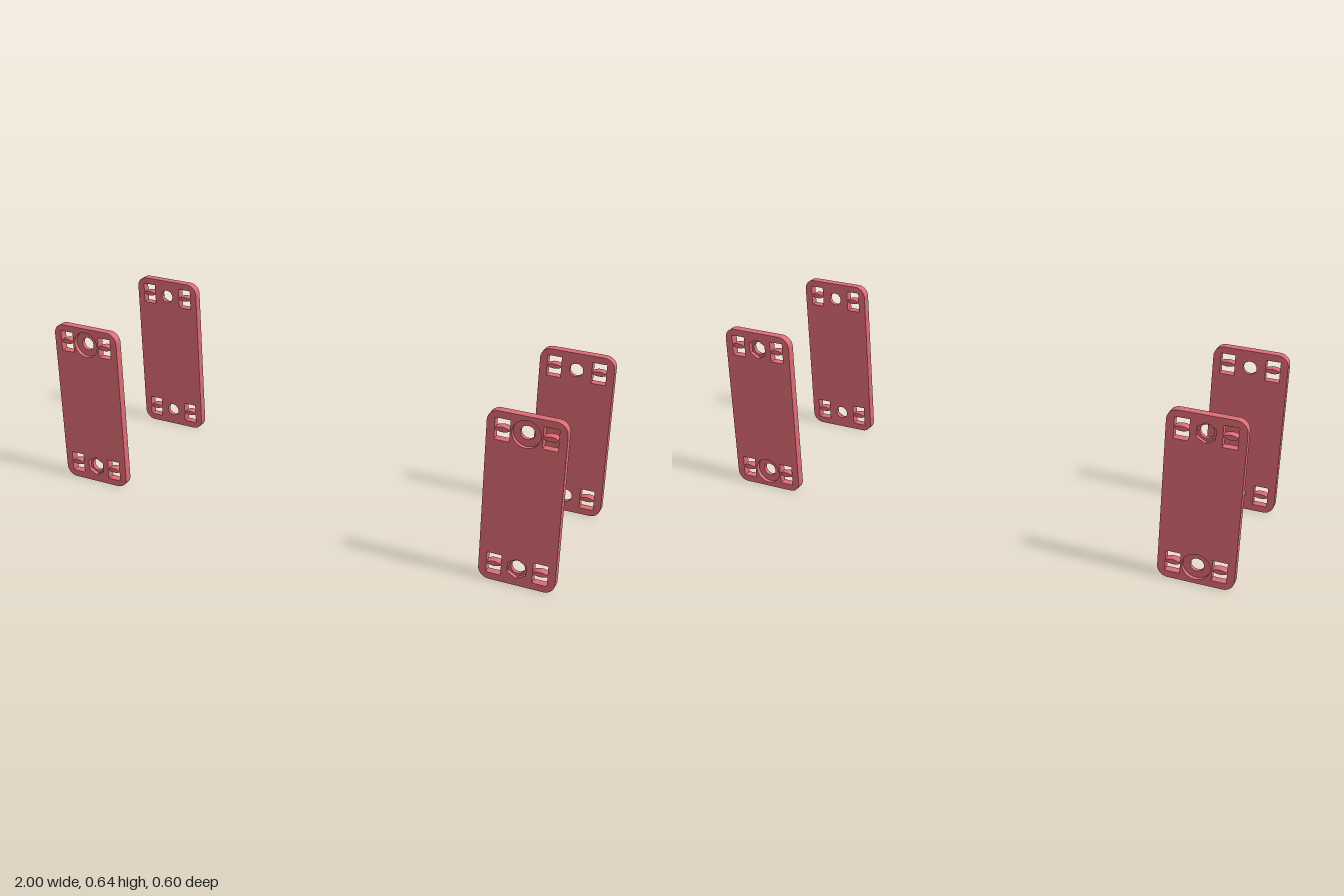
import * as THREE from 'three';

const W = 0.275, H = 0.645, T = 0.03, R = 0.04;   // plate size and corner radius
const HOLE_Y = 0.257, SLOT_X = 0.083;              // fixing positions from the plate centre
const SLOT_W = 0.053, SLOT_H = 0.08;

const moved = (pts, x, y) => pts.map(p => new THREE.Vector2(p.x + x, p.y + y));

// Regular polygon, clockwise so that it works as a hole
function ring(radius, sides, y) {
  const pts = [];
  for (let i = 0; i < sides; i++) {
    const a = Math.PI / 2 - (i / sides) * Math.PI * 2;
    pts.push(new THREE.Vector2(Math.cos(a) * radius, y + Math.sin(a) * radius));
  }
  return pts;
}

// Rounded rectangle, counter-clockwise
function roundedRect(w, h, r, steps = 10) {
  const pts = [];
  [[1, 1], [-1, 1], [-1, -1], [1, -1]].forEach(([sx, sy], corner) => {
    for (let i = 0; i <= steps; i++) {
      const a = (corner + i / steps) * Math.PI / 2;
      pts.push(new THREE.Vector2(
        sx * (w / 2 - r) + Math.cos(a) * r, sy * (h / 2 - r) + Math.sin(a) * r));
    }
  });
  return pts;
}

// Half of a tie slot: a window whose inner edge bulges with the bar between the halves
function slotHalf(sign) {
  const pts = [];
  for (let i = 0; i <= 8; i++) {
    const u = i / 8 * 2 - 1;
    pts.push(new THREE.Vector2(u * SLOT_W / 2, sign * (0.002 + 0.007 * (1 - u * u))));
  }
  pts.push(new THREE.Vector2(SLOT_W / 2, sign * SLOT_H / 2));
  pts.push(new THREE.Vector2(-SLOT_W / 2, sign * SLOT_H / 2));
  return sign > 0 ? pts.reverse() : pts;
}

function plateGeometry() {
  const pos = [];

  // Flat face with holes, facing +z (dir 1) or -z (dir -1)
  const cap = (outline, holes, z, dir) => {
    const all = outline.concat(...holes);
    for (const f of THREE.ShapeUtils.triangulateShape(outline, holes)) {
      for (const i of dir > 0 ? f : [f[0], f[2], f[1]]) pos.push(all[i].x, all[i].y, z);
    }
  };
  // Wall along a closed loop
  const wall = (pts, z0, z1) => pts.forEach((a, i) => {
    const b = pts[(i + 1) % pts.length];
    pos.push(a.x, a.y, z0, b.x, b.y, z0, b.x, b.y, z1, a.x, a.y, z0, b.x, b.y, z1, a.x, a.y, z1);
  });

  const outline = roundedRect(W, H, R);
  const slots = [];
  for (const x of [-SLOT_X, SLOT_X])
    for (const y of [-HOLE_Y, HOLE_Y])
      for (const s of [-1, 1]) slots.push(moved(slotHalf(s), x, y));

  // Round bolt-head recess on top, hexagonal nut recess below, each over a through hole
  const recesses = [ring(0.05, 40, HOLE_Y), ring(0.038, 6, -HOLE_Y)];
  const bores = [ring(0.025, 32, HOLE_Y), ring(0.025, 32, -HOLE_Y)];

  cap(outline, [...slots, ...recesses], T / 2, 1);
  cap(outline, [...slots, ...bores], -T / 2, -1);
  wall(outline, -T / 2, T / 2);
  slots.forEach(s => wall(s, -T / 2, T / 2));
  recesses.forEach((r, i) => {
    wall(r, 0, T / 2);
    wall(bores[i], -T / 2, 0);
    cap([...r].reverse(), [bores[i]], 0, 1);
  });

  const geometry = new THREE.BufferGeometry();
  geometry.setAttribute('position', new THREE.Float32BufferAttribute(pos, 3));
  geometry.computeVertexNormals();
  return geometry;
}

export function createModel() {
  const model = new THREE.Group();
  model.name = 'clampPlates';
  const material = new THREE.MeshStandardMaterial({ color: 0xdd6b73 });
  const geometry = plateGeometry();

  // Two facing pairs; the back plates are turned over so the recesses face outward
  for (const sx of [-1, 1]) {
    for (const sz of [-1, 1]) {
      const plate = new THREE.Mesh(geometry, material);
      plate.name = (sz > 0 ? 'front' : 'back') + (sx > 0 ? 'Left' : 'Right') + 'Plate';
      plate.position.set(sx * (1 - W / 2), H / 2, sz * 0.287);
      if (sz < 0) plate.rotation.x = Math.PI;
      model.add(plate);
    }
  }
  return model;
}
